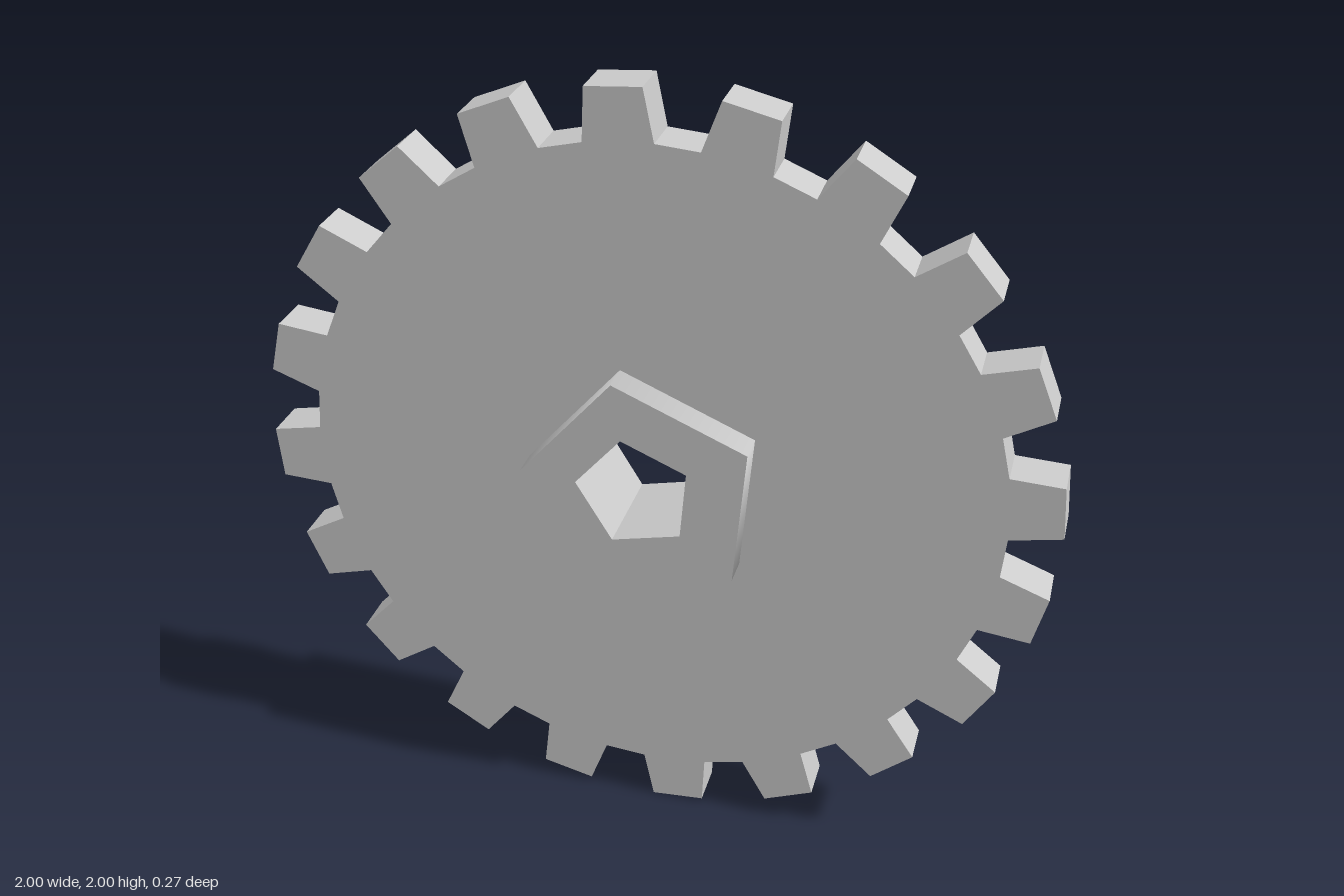
import * as THREE from 'three';

const TEETH = 20, CENTER_Y = 1.003;
const HUB_RADIUS = 0.306, BORE_RADIUS = 0.15;
const DEG = Math.PI / 180;

// point at a polar angle given in degrees
const polar = (r, deg, cx = 0, cy = 0) =>
  new THREE.Vector2(cx + r * Math.cos(deg * DEG), cy + r * Math.sin(deg * DEG));

// five-sided outline shared by the hub and its bore
const pentagon = (r, cx = 0, cy = 0) =>
  Array.from({ length: 5 }, (_, i) => polar(r, 31.3 + 72 * i, cx, cy));

// extrude an outline with one hole, centred on z = 0
function plate(outline, hole, depth) {
  const shape = new THREE.Shape(outline);
  shape.holes.push(new THREE.Path(hole));
  const geometry = new THREE.ExtrudeGeometry(shape, { depth, bevelEnabled: false });
  return geometry.translate(0, 0, -depth / 2);
}

export function createModel() {
  const model = new THREE.Group();
  model.name = 'gear';
  const add = (name, geometry, flatShading) => {
    const mesh = new THREE.Mesh(
      geometry, new THREE.MeshStandardMaterial({ color: 0xcccccc, flatShading }));
    mesh.name = name;
    mesh.position.y = CENTER_Y;
    model.add(mesh);
  };

  // toothed disc: each tapered tooth has two root and two tip corners
  const outline = [];
  for (let i = 0; i < TEETH; i++) {
    const mid = 4.6 + (360 / TEETH) * i;
    outline.push(
      polar(0.872, mid - 5.5), polar(0.999, mid - 3.9),
      polar(0.999, mid + 3.9), polar(0.872, mid + 5.5));
  }
  add('toothedDisc', plate(outline, pentagon(HUB_RADIUS), 0.111), true);

  // hub collar with a slightly off-centre bore
  const hub = plate(pentagon(HUB_RADIUS), pentagon(BORE_RADIUS, -0.014, 0.004), 0.266);

  // smooth shading around the outer wall of the hub
  const p = hub.attributes.position, n = hub.attributes.normal;
  for (let i = 0; i < p.count; i++) {
    const r = Math.hypot(p.getX(i), p.getY(i));
    if (Math.abs(n.getZ(i)) < 0.5 && r > 0.25) n.setXYZ(i, p.getX(i) / r, p.getY(i) / r, 0);
  }
  add('hub', hub, false);

  return model;
}
